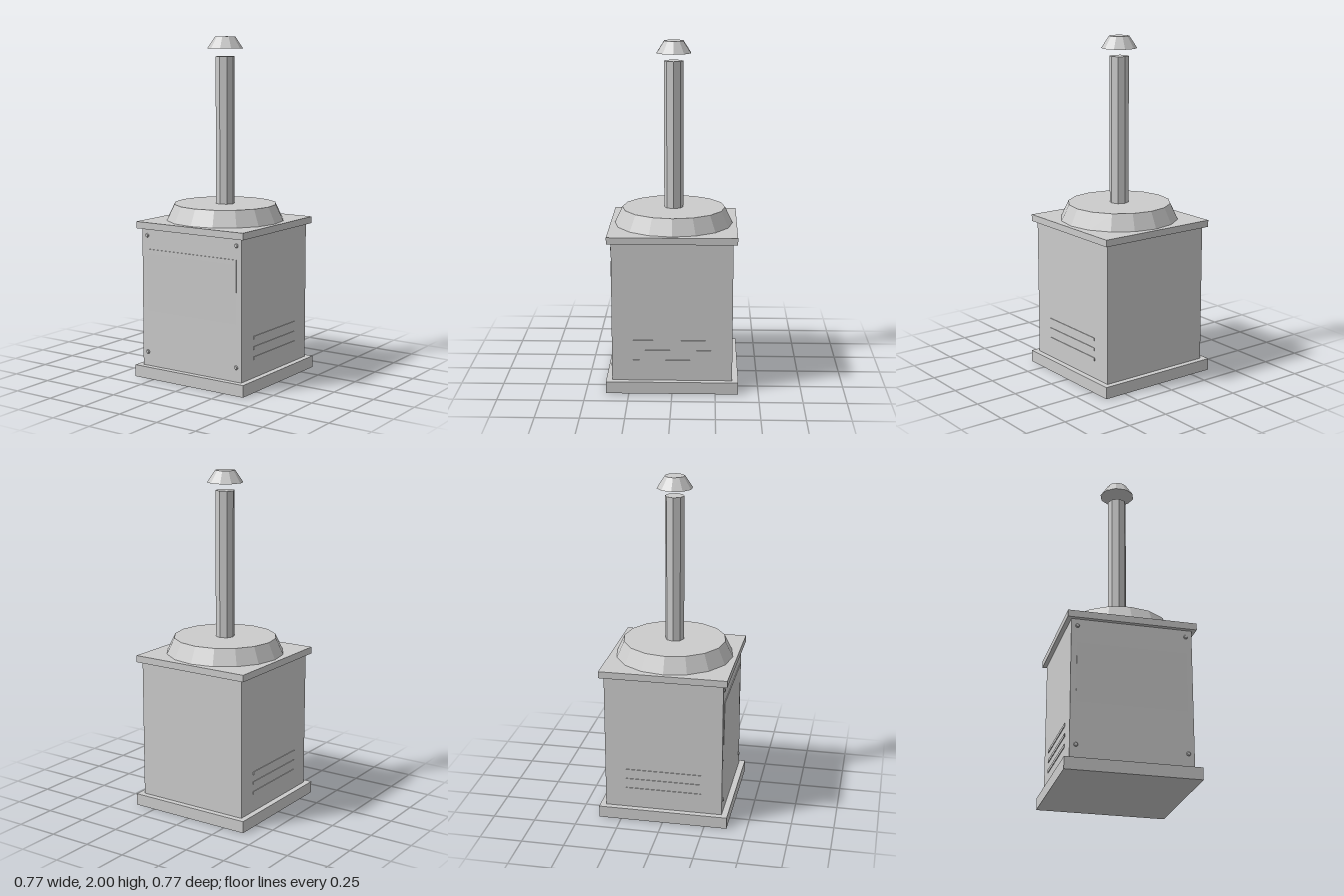
import * as THREE from 'three';

export function createModel() {
  const model = new THREE.Group();
  model.name = 'boilerWithChimney';
  const grey = new THREE.MeshStandardMaterial({ color: 0xcccccc, flatShading: true });
  grey.name = 'grey';

  function add(name, geometry, x = 0, y = 0, z = 0) {
    const mesh = new THREE.Mesh(geometry, grey);
    mesh.name = name;
    mesh.position.set(x, y, z);
    model.add(mesh);
    return mesh;
  }
  // Square slab between two heights
  const slab = (name, width, y0, y1) =>
    add(name, new THREE.BoxGeometry(width, y1 - y0, width), 0, (y0 + y1) / 2, 0);
  // Faceted drum between two heights, with a corner on the x axis
  const drum = (name, rTop, rBottom, y0, y1, sides) =>
    add(name, new THREE.CylinderGeometry(rTop, rBottom, y1 - y0, sides, 1, false, Math.PI / 2), 0, (y0 + y1) / 2, 0);

  // Cabinet
  slab('base', 0.766, 0, 0.07);
  slab('body', 0.696, 0.07, 0.89);
  slab('topPlate', 0.746, 0.89, 0.93);

  // Lid, chimney and the rain cap floating above it
  drum('lid', 0.303, 0.348, 0.93, 1.025, 16);
  drum('chimney', 0.056, 0.056, 1.025, 1.885, 8);
  drum('chimneyCap', 0.058, 0.104, 1.93, 2, 10);

  // Shallow front door panel, thickest near its top
  const profile = new THREE.Shape([
    new THREE.Vector2(0, 0.4), new THREE.Vector2(0.005, 0.745),
    new THREE.Vector2(0.005, 0.77), new THREE.Vector2(0, 0.77),
  ]);
  const panel = new THREE.ExtrudeGeometry(profile, { depth: 0.63, bevelEnabled: false });
  panel.translate(0, 0, -0.315).rotateY(-Math.PI / 2);
  add('frontPanel', panel, 0, 0, 0.348);

  for (const side of [-1, 1]) {
    // Front corner screws
    for (const y of [0.153, 0.85]) {
      const screw = new THREE.CylinderGeometry(0.009, 0.013, 0.007, 8).rotateX(Math.PI / 2);
      add('screw', screw, side * 0.313, y, 0.3515);
    }
    // Side vents
    for (const y of [0.185, 0.245, 0.305]) {
      add('sideVent', new THREE.BoxGeometry(0.006, 0.018, 0.45), side * 0.349, y, 0);
    }
  }
  return model;
}
